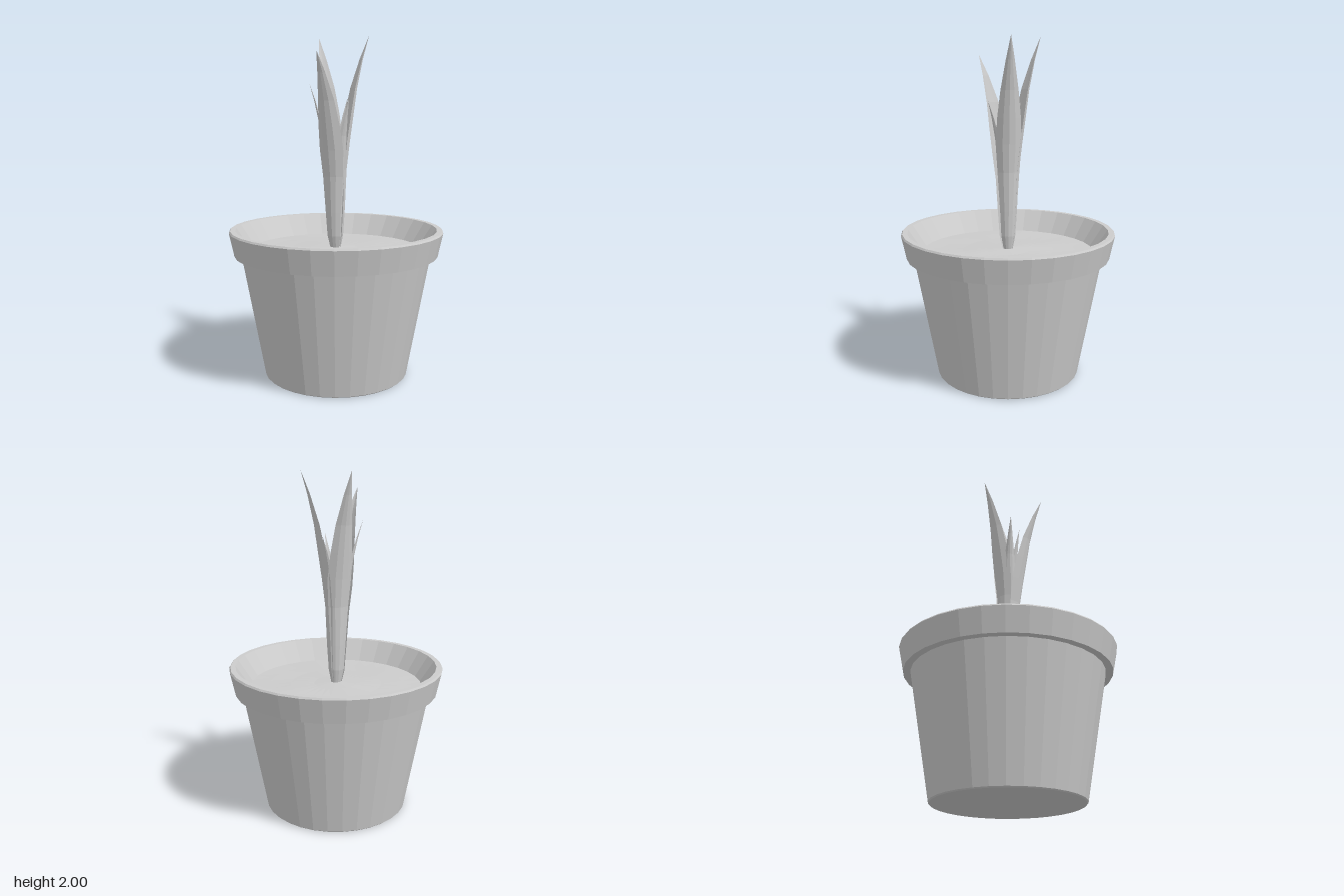
import * as THREE from 'three';

const SIDES = 32;
const material = new THREE.MeshStandardMaterial({ color: 0xcccccc, flatShading: true, side: THREE.DoubleSide });

function lathe(name, profile) {
  const points = profile.map(([r, y]) => new THREE.Vector2(r, y));
  const mesh = new THREE.Mesh(new THREE.LatheGeometry(points, SIDES), material);
  mesh.name = name;
  return mesh;
}

// Leaf growth rows: height, outward lean and half-width, as fractions of the leaf's own size
const ROWS = [
  [0, 0.1, 0.25], [0.1, 0.22, 0.55], [0.22, 0.27, 0.65], [0.4, 0.32, 0.85], [0.53, 0.42, 1],
  [0.65, 0.53, 0.9], [0.77, 0.64, 0.68], [0.9, 0.82, 0.33], [1, 1, 0.01],
];
// Crescent section: position across the leaf, and 1 on the inner face
const SECTION = [[-1, 0], [-0.5, 0], [0, 0], [0.5, 0], [1, 0], [0.5, 1], [0, 1], [-0.5, 1]];
const LEAF_BASE = 0.72;

function leaf(name, x, y, z, halfWidth) {
  const reach = Math.hypot(x, z);
  const dx = x / reach, dz = z / reach;
  const n = SECTION.length;
  const positions = [], index = [];
  ROWS.forEach(([h, lean, width], row) => {
    const w = width * halfWidth;
    for (const [s, inner] of SECTION) {
      const out = lean * reach - 0.5 * w * s * s - inner * 0.2 * w;
      positions.push(dx * out + dz * s * w, LEAF_BASE + h * (y - LEAF_BASE), dz * out - dx * s * w);
    }
    if (row === 0) return;
    for (let i = 0; i < n; i++) {
      const a = (row - 1) * n + i, b = (row - 1) * n + (i + 1) % n;
      index.push(a, b, b + n, a, b + n, a + n);
    }
  });
  const geometry = new THREE.BufferGeometry();
  geometry.setAttribute('position', new THREE.Float32BufferAttribute(positions, 3));
  geometry.setIndex(index);
  geometry.computeVertexNormals();
  const mesh = new THREE.Mesh(geometry, material);
  mesh.name = name;
  return mesh;
}

export function createModel() {
  const model = new THREE.Group();
  model.name = 'pottedPlant';

  // Tapered pot with an overhanging collar and sloped inner wall
  model.add(lathe('pot', [
    [0, 0], [0.42, 0], [0.427, 0.006], [0.56, 0.73], [0.602, 0.73],
    [0.632, 0.87], [0.625, 0.88], [0.595, 0.88], [0.508, 0.75],
  ]));

  // Gently uneven soil
  const soil = lathe('soil', [[0.512, 0.755], [0.4, 0.757], [0.27, 0.76], [0.13, 0.76], [0, 0.76]]);
  const p = soil.geometry.attributes.position;
  for (let i = 0; i < p.count; i++) {
    const x = p.getX(i), z = p.getZ(i);
    const fade = Math.max(0, 1 - Math.hypot(x, z) / 0.51);
    p.setY(i, p.getY(i) + 0.012 * fade * Math.sin(9 * x + 2) * Math.cos(8 * z - 4 * x));
  }
  soil.geometry.computeVertexNormals();
  model.add(soil);

  // Three tall outer leaves around four short inner ones: tip x, y, z and half-width
  const leaves = new THREE.Group();
  leaves.name = 'leaves';
  [
    [0.19, 2, -0.055, 0.075], [-0.105, 1.9, 0.195, 0.078], [-0.105, 2, -0.17, 0.075],
  ].forEach((l, i) => leaves.add(leaf(`outerLeaf${i + 1}`, ...l)));
  [
    [-0.155, 1.73, -0.01, 0.042], [0.075, 1.64, 0.1, 0.038],
    [0.065, 1.64, -0.085, 0.04], [-0.09, 1.68, 0.055, 0.035],
  ].forEach((l, i) => leaves.add(leaf(`innerLeaf${i + 1}`, ...l)));
  model.add(leaves);

  return model;
}
